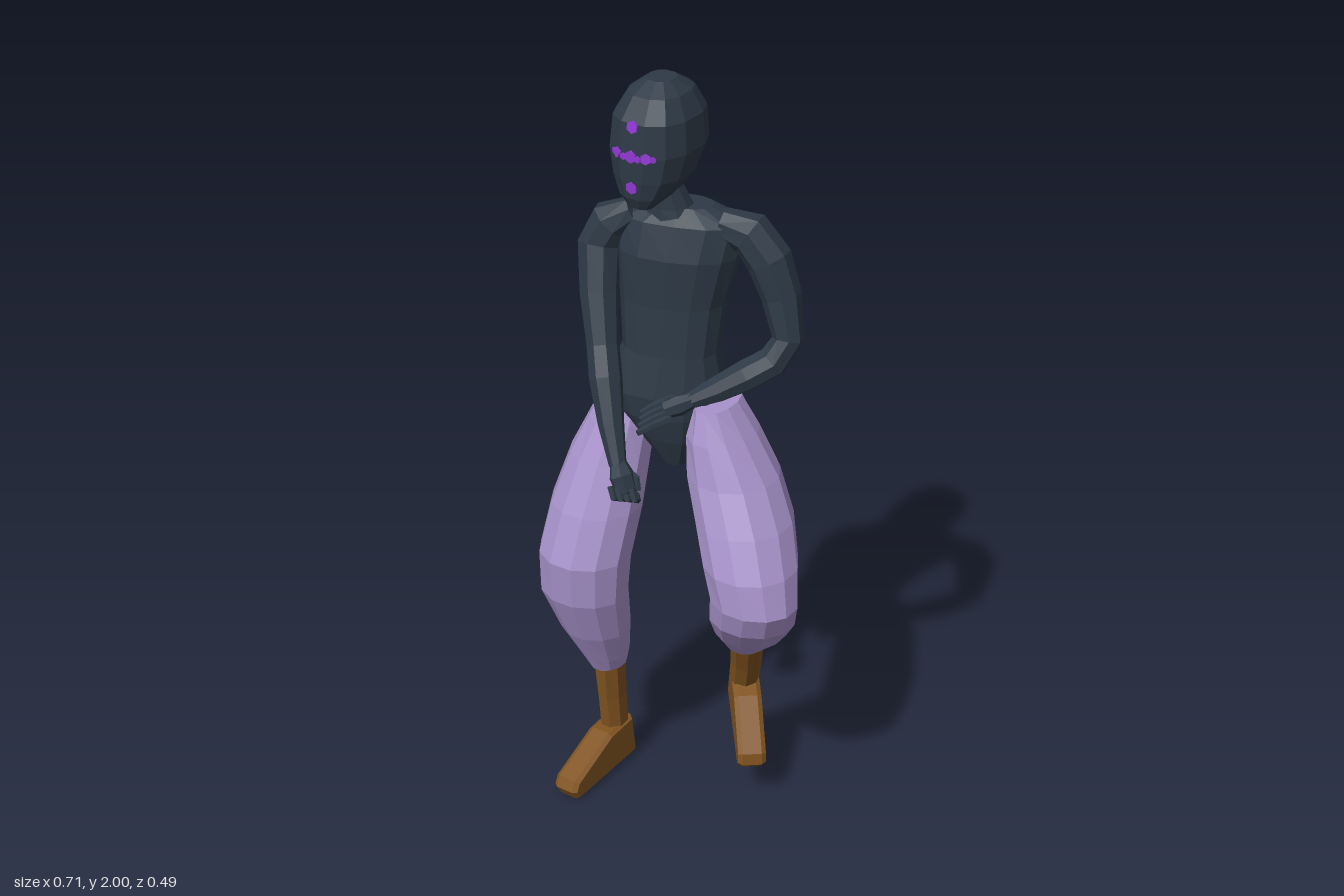
import * as THREE from 'three';

const mat = (name, color) => {
  const m = new THREE.MeshStandardMaterial({ color });
  m.name = name;
  return m;
};
const V = (x, y, z) => new THREE.Vector3(x, y, z);

// Faceted skin over rings [x, y, z, halfWidth, halfDepth].
// With a yaw the rings lie flat; with yaw = null they follow the path.
function loft(rings, { sides = 10, yaw = null, power = 2 } = {}) {
  const pts = rings.map(r => V(r[0], r[1], r[2]));
  const pos = [], idx = [];
  let u = V(0.3, 0, 1);
  rings.forEach((r, i) => {
    const t = pts[Math.min(i + 1, pts.length - 1)].clone().sub(pts[Math.max(i - 1, 0)]).normalize();
    let v;
    if (yaw === null) {
      u = u.clone().addScaledVector(t, -u.dot(t)).normalize();
      v = t.clone().cross(u);
    } else {
      u = V(Math.cos(yaw), 0, -Math.sin(yaw));
      v = V(Math.sin(yaw), 0, Math.cos(yaw));
    }
    for (let j = 0; j < sides; j++) {
      const a = ((j + 0.5) / sides) * Math.PI * 2, c = Math.cos(a), s = Math.sin(a);
      const f = x => Math.sign(x) * Math.abs(x) ** (2 / power);
      const p = pts[i].clone().addScaledVector(u, f(c) * r[3]).addScaledVector(v, f(s) * (r[4] ?? r[3]));
      pos.push(p.x, p.y, p.z);
    }
  });
  const n = rings.length, last = (n - 1) * sides;
  for (let i = 0; i < n - 1; i++) for (let j = 0; j < sides; j++) {
    const a = i * sides + j, b = i * sides + (j + 1) % sides;
    idx.push(a, b, a + sides, b, b + sides, a + sides);
  }
  for (let j = 1; j < sides - 1; j++) {
    idx.push(0, j + 1, j, last, last + j, last + j + 1);
  }
  const g = new THREE.BufferGeometry();
  g.setAttribute('position', new THREE.Float32BufferAttribute(pos, 3));
  g.setIndex(idx);
  const flat = g.toNonIndexed();
  flat.computeVertexNormals();
  return flat;
}

// Wedge-shaped boot foot running from heel to toe along its sole
function footGeometry(heel, toe, up) {
  const z = toe.clone().sub(heel), len = z.length();
  z.normalize();
  const y = up.clone().addScaledVector(z, -up.dot(z)).normalize();
  const x = y.clone().cross(z);
  const s = new THREE.Shape([[0, 0.008], [len - 0.02, 0.008], [len - 0.008, 0.03], [len - 0.02, 0.052],
    [0.1, 0.112], [0.01, 0.115]].map(p => new THREE.Vector2(p[0], p[1])));
  const g = new THREE.ExtrudeGeometry(s, { depth: 0.05, bevelSize: 0.008, bevelThickness: 0.012, bevelSegments: 1 });
  g.translate(0, 0, -0.025);
  g.applyMatrix4(new THREE.Matrix4().makeBasis(z, y, x.negate()).setPosition(heel));
  return g;
}

export function createModel() {
  const model = new THREE.Group();
  const suit = mat('dark suit', 0x2d3946);
  const cloth = mat('lavender cloth', 0xa893cb);
  const leather = mat('brown leather', 0x80531f);
  const glow = mat('purple marks', 0x9438d8);
  const add = (name, geometry, material, parent = model) => {
    const m = new THREE.Mesh(geometry, material);
    m.name = name;
    parent.add(m);
    return m;
  };

  // Head, neck and torso
  const head = add('head', loft([
    [-0.09, 2.0, -0.025, 0.035, 0.04], [-0.09, 1.972, -0.025, 0.072, 0.085],
    [-0.09, 1.92, -0.02, 0.1, 0.118], [-0.09, 1.84, -0.018, 0.106, 0.126],
    [-0.09, 1.775, 0.0, 0.09, 0.106], [-0.09, 1.73, 0.035, 0.062, 0.066],
    [-0.09, 1.7, 0.06, 0.032, 0.026]], { sides: 12, yaw: 0, power: 2.4 }), suit);
  add('neck', loft([
    [-0.09, 1.79, -0.03, 0.05, 0.055], [-0.088, 1.72, -0.04, 0.043, 0.045],
    [-0.082, 1.67, -0.05, 0.058, 0.055], [-0.08, 1.62, -0.06, 0.09, 0.07]], { yaw: 0.15 }), suit);
  add('torso', loft([
    [-0.06, 1.67, -0.07, 0.08, 0.045], [-0.055, 1.635, -0.065, 0.165, 0.075],
    [-0.065, 1.55, -0.06, 0.158, 0.095], [-0.075, 1.42, -0.055, 0.135, 0.09],
    [-0.075, 1.29, -0.045, 0.124, 0.09], [-0.092, 1.18, -0.05, 0.158, 0.115],
    [-0.085, 1.12, -0.05, 0.14, 0.108], [-0.07, 1.05, -0.05, 0.09, 0.085],
    [-0.06, 0.97, -0.05, 0.035, 0.05]], { sides: 14, yaw: 0.28, power: 2.3 }), suit);

  // Face marks laid on the head
  head.updateMatrixWorld();
  const ray = new THREE.Raycaster();
  const marks = new THREE.Group();
  marks.name = 'faceMarks';
  model.add(marks);
  [[0, 1.912, 0.016], [0, 1.76, 0.016], [0, 1.84, 0.016], [-0.04, 1.842, 0.014], [0.04, 1.842, 0.014],
    [-0.02, 1.838, 0.009], [0.02, 1.838, 0.009], [-0.055, 1.84, 0.008], [0.055, 1.84, 0.008]].forEach(([x, y, r]) => {
    ray.set(V(head.position.x - 0.09 + x, y, 1), V(0, 0, -1));
    const hit = ray.intersectObject(head)[0];
    if (!hit) return;
    const dot = add('faceMark', new THREE.CylinderGeometry(r, r, 0.006, 6).rotateX(Math.PI / 2), glow, marks);
    dot.position.copy(hit.point);
    dot.lookAt(hit.point.clone().add(hit.face.normal));
  });

  // Arms
  add('rightArm', loft([
    [-0.16, 1.645, -0.01, 0.035], [-0.215, 1.61, 0.01, 0.055], [-0.238, 1.55, 0.028, 0.055],
    [-0.215, 1.44, 0.065, 0.049], [-0.178, 1.32, 0.105, 0.041], [-0.15, 1.25, 0.135, 0.042],
    [-0.11, 1.15, 0.172, 0.033], [-0.068, 1.06, 0.205, 0.022]], { sides: 8 }), suit);
  add('leftArm', loft([
    [0.05, 1.635, -0.08, 0.04], [0.12, 1.62, -0.095, 0.056], [0.17, 1.56, -0.102, 0.057],
    [0.205, 1.47, -0.105, 0.05], [0.235, 1.37, -0.09, 0.04], [0.21, 1.315, -0.06, 0.04],
    [0.16, 1.28, -0.02, 0.04], [0.1, 1.24, 0.022, 0.033], [0.045, 1.21, 0.065, 0.02]], { sides: 8 }), suit);

  // Hands: the right one curled, the left one loosely open
  const finger = (name, path) => add(name, loft(path.map((p, i) => [...p, 0.011 - i * 0.0015]), { sides: 5 }), suit);
  add('rightPalm', loft([
    [-0.072, 1.07, 0.2, 0.02], [-0.052, 1.04, 0.212, 0.032], [-0.035, 1.005, 0.215, 0.028],
    [-0.025, 0.99, 0.212, 0.012]], { sides: 7 }), suit);
  add('leftPalm', loft([
    [0.055, 1.215, 0.06, 0.02], [0.03, 1.203, 0.08, 0.027], [0.002, 1.19, 0.1, 0.022]], { sides: 7 }), suit);
  for (let i = 0; i < 4; i++) {
    const k = i - 1.5;
    finger('rightFinger', [[-0.04 + k * 0.016, 1.02, 0.23 - k * 0.007], [-0.028 + k * 0.016, 0.993, 0.236 - k * 0.007],
      [-0.034 + k * 0.016, 0.98, 0.215 - k * 0.007], [-0.045 + k * 0.014, 0.985, 0.195 - k * 0.005]]);
    finger('leftFinger', [[0.012 + k * 0.008, 1.193 - k * 0.01, 0.095 + k * 0.007],
      [-0.018 + k * 0.008, 1.178 - k * 0.01, 0.125 + k * 0.009], [-0.038 + k * 0.006, 1.165 - k * 0.01, 0.155 + k * 0.014]]);
  }
  finger('rightThumb', [[-0.055, 1.05, 0.195], [-0.02, 1.035, 0.195], [-0.008, 1.008, 0.205]]);
  finger('leftThumb', [[0.04, 1.205, 0.07], [0.005, 1.215, 0.08], [-0.03, 1.195, 0.1]]);

  // Baggy trouser legs
  add('rightTrouserLeg', loft([
    [-0.185, 1.15, -0.03, 0.06, 0.08], [-0.197, 1.08, -0.01, 0.085, 0.095],
    [-0.215, 0.98, 0.025, 0.106, 0.105], [-0.228, 0.85, 0.07, 0.122, 0.118],
    [-0.236, 0.72, 0.115, 0.124, 0.118], [-0.242, 0.6, 0.115, 0.12, 0.106],
    [-0.235, 0.47, 0.078, 0.094, 0.09], [-0.228, 0.37, 0.046, 0.062, 0.068],
    [-0.225, 0.33, 0.037, 0.046, 0.056]], { sides: 12, yaw: 0 }), cloth);
  add('leftTrouserLeg', loft([
    [0.06, 1.165, -0.05, 0.045, 0.085], [0.078, 1.09, -0.045, 0.085, 0.108],
    [0.117, 0.99, -0.035, 0.118, 0.122], [0.17, 0.89, -0.005, 0.124, 0.13],
    [0.215, 0.79, 0.035, 0.122, 0.122], [0.241, 0.7, 0.06, 0.116, 0.1],
    [0.22, 0.63, 0.035, 0.115, 0.102], [0.178, 0.54, -0.03, 0.094, 0.095],
    [0.138, 0.46, -0.085, 0.057, 0.068], [0.124, 0.43, -0.105, 0.043, 0.052]], { sides: 12, yaw: 0 }), cloth);

  // Boots
  add('rightBootShaft', loft([
    [-0.225, 0.37, 0.036, 0.043, 0.052], [-0.224, 0.22, 0.024, 0.036, 0.048],
    [-0.222, 0.06, 0.015, 0.036, 0.042]], { sides: 8, yaw: 0 }), leather);
  add('rightFoot', footGeometry(V(-0.22, 0.012, -0.025), V(-0.228, 0, 0.245), V(0, 1, 0)), leather);
  add('leftBootShaft', loft([
    [0.13, 0.47, -0.09, 0.045], [0.1, 0.36, -0.135, 0.042], [0.066, 0.24, -0.175, 0.04]], { sides: 8 }), leather);
  add('leftFoot', footGeometry(V(0.035, 0.185, -0.215), V(0.19, 0.095, -0.025), V(0.06, 0.2, 0.07)), leather);

  return model;
}
